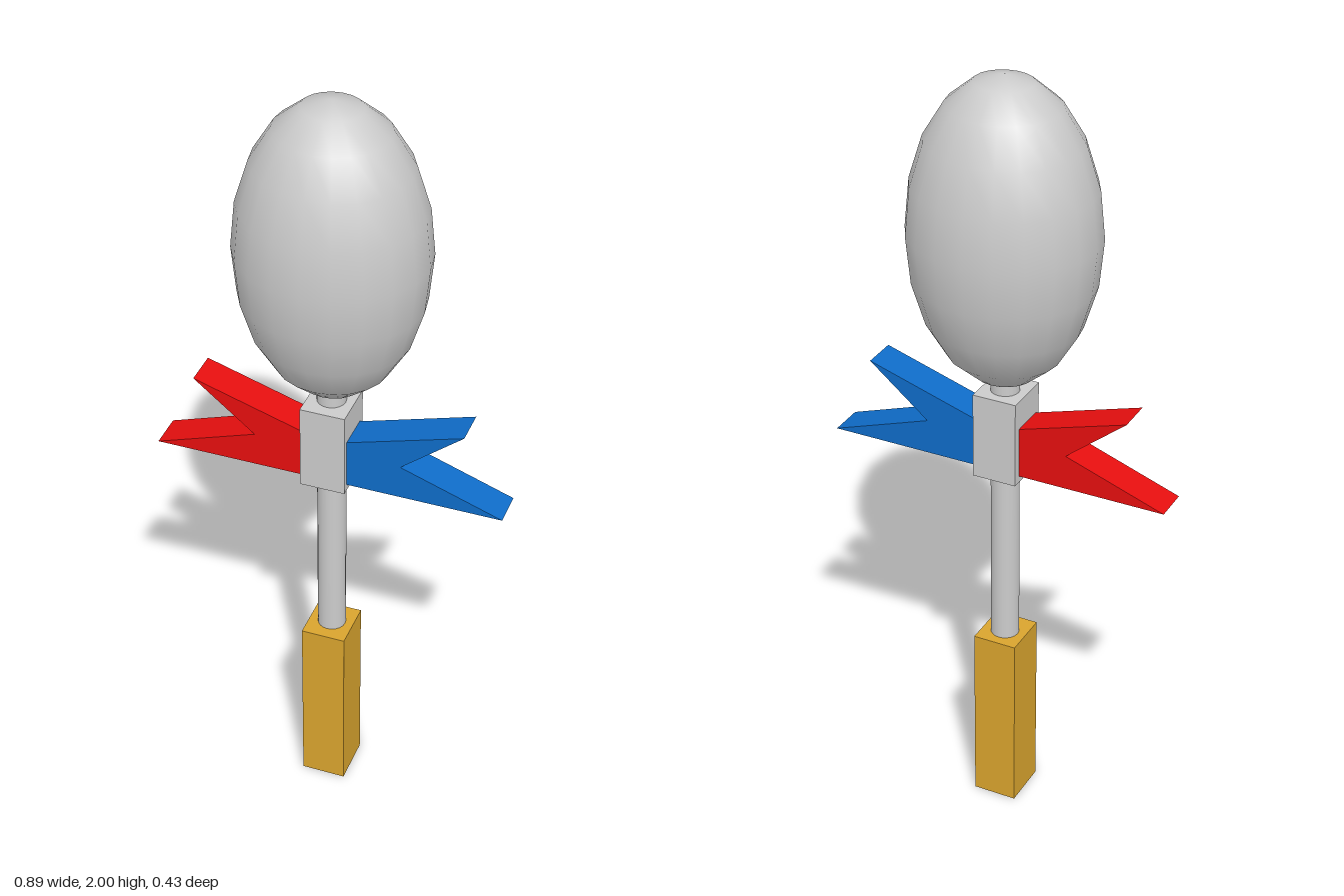
import * as THREE from 'three';

const material = (color) => new THREE.MeshStandardMaterial({ color });

export function createModel() {
  const model = new THREE.Group();
  const grey = material(0xcccccc);

  const add = (name, geometry, mat, x, y, z) => {
    const mesh = new THREE.Mesh(geometry, mat);
    mesh.name = name;
    mesh.position.set(x, y, z);
    model.add(mesh);
    return mesh;
  };

  // Square handle, round shaft and square collar
  add('handle', new THREE.BoxGeometry(0.114, 0.484, 0.127), material(0xd9a42e), -0.006, 0.242, 0.008);
  add('shaft', new THREE.CylinderGeometry(0.036, 0.036, 0.8, 20), grey, -0.006, 0.86, 0.005);
  add('collar', new THREE.BoxGeometry(0.114, 0.225, 0.127), grey, -0.006, 1.076, 0.008);

  // Egg-shaped head
  const head = add('head', new THREE.SphereGeometry(1, 20, 10), grey, -0.006, 1.608, -0.001);
  head.scale.set(0.237, 0.392, 0.216);

  // Notched wings, one on each side of the collar
  const outline = [[0, 0.981], [0.445, 0.981], [0.187, 1.071], [0.343, 1.199], [0, 1.093]];
  for (const [name, side, color] of [['leftWing', 1, 0x0f6cc8], ['rightWing', -1, 0xe60f0f]]) {
    const shape = new THREE.Shape(outline.map(([x, y]) => new THREE.Vector2(side * x, y)));
    const geometry = new THREE.ExtrudeGeometry(shape, { depth: 0.091, bevelEnabled: false });
    add(name, geometry, material(color), 0, 0, -0.035);
  }

  return model;
}
